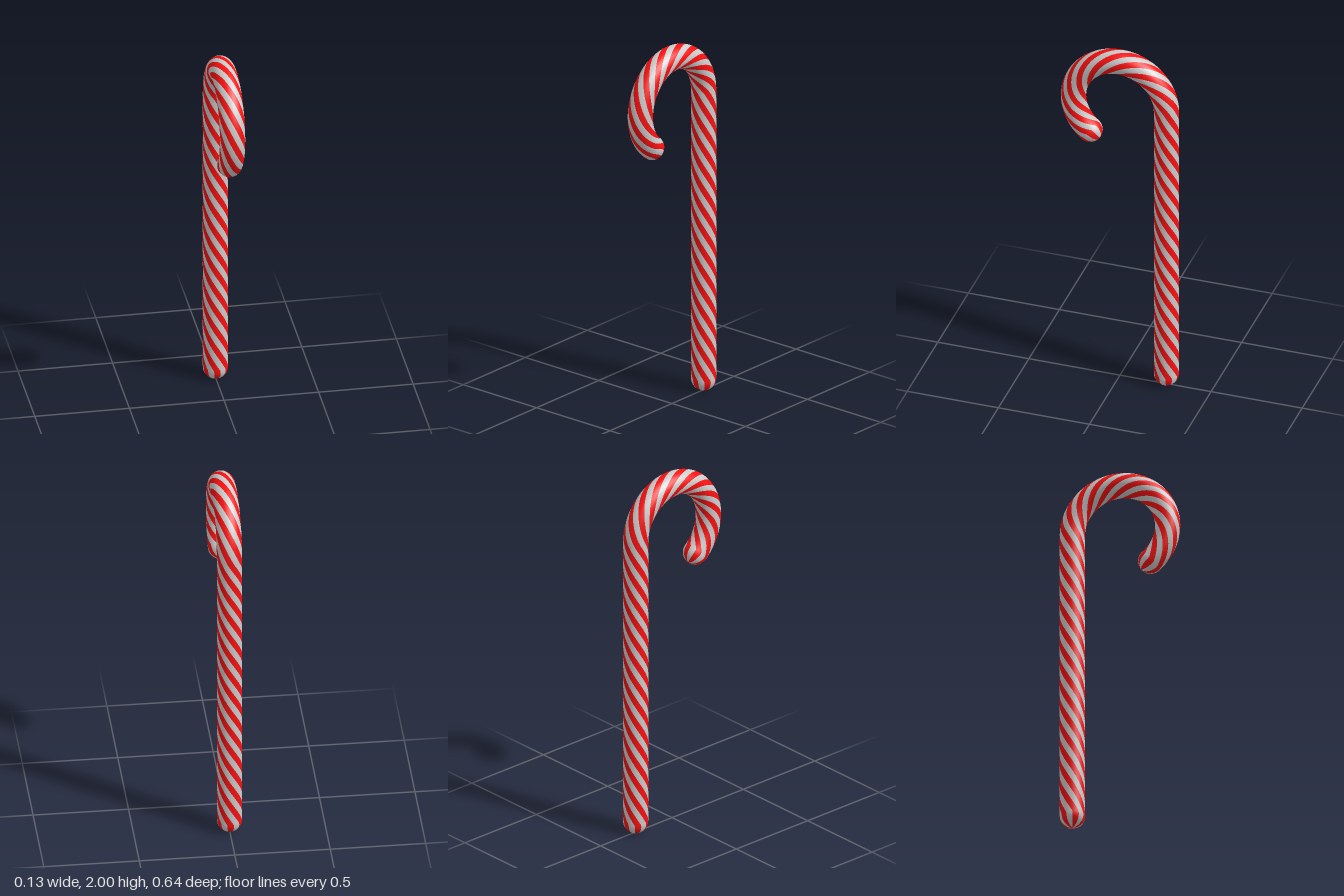
import * as THREE from 'three';
import { ParametricGeometry } from 'three/addons/geometries/ParametricGeometry.js';

const TUBE = 0.066;                     // cane thickness (radius)
const HOOK = 0.255;                     // hook centreline radius
const HOOK_Y = 1.68;                    // height of the hook centre
const SHAFT = HOOK_Y - TUBE;            // straight length
const LENGTH = SHAFT + HOOK * THREE.MathUtils.degToRad(230);
const CAP = TUBE * (Math.PI / 2 - 0.01);
const STRIPES = 6;                      // red stripes round the cane
const PITCH = 0.691;                    // length of one full twist

// Point on the cane: d = distance along it (beyond 0..LENGTH is a round cap), angle round it
function canePoint(d, angle, target) {
  const s = THREE.MathUtils.clamp(d, 0, LENGTH);
  const capAngle = (d - s) / TUBE;
  const bend = Math.max(0, s - SHAFT) / HOOK;
  const sin = Math.sin(bend), cos = Math.cos(bend);
  const twist = angle + (2 * Math.PI * s) / PITCH;
  const ring = TUBE * Math.cos(capAngle);
  const push = TUBE * Math.sin(capAngle);
  const inward = ring * Math.sin(twist);
  target.set(
    ring * Math.cos(twist),
    TUBE + Math.min(s, SHAFT) + HOOK * sin + push * cos - inward * sin,
    -HOOK * cos + push * sin + inward * cos
  );
}

// One twisting band running the whole length of the cane
function bandGeometry(start, width) {
  return new ParametricGeometry((u, v, target) => {
    canePoint(-CAP + u * (LENGTH + 2 * CAP), start + v * width, target);
  }, 240, 5);
}

export function createModel() {
  const cane = new THREE.Group();
  cane.name = 'candyCane';
  const red = new THREE.MeshStandardMaterial({ color: 0xf81010 });
  const white = new THREE.MeshStandardMaterial({ color: 0xcccccc });
  const width = Math.PI / STRIPES;

  // Alternating red and pale bands
  for (let i = 0; i < STRIPES * 2; i++) {
    const isRed = i % 2 === 0;
    const start = Math.PI / 2 + (i - 0.5) * width;
    const band = new THREE.Mesh(bandGeometry(start, width), isRed ? red : white);
    band.name = isRed ? 'redStripe' : 'paleStripe';
    cane.add(band);
  }
  return cane;
}
